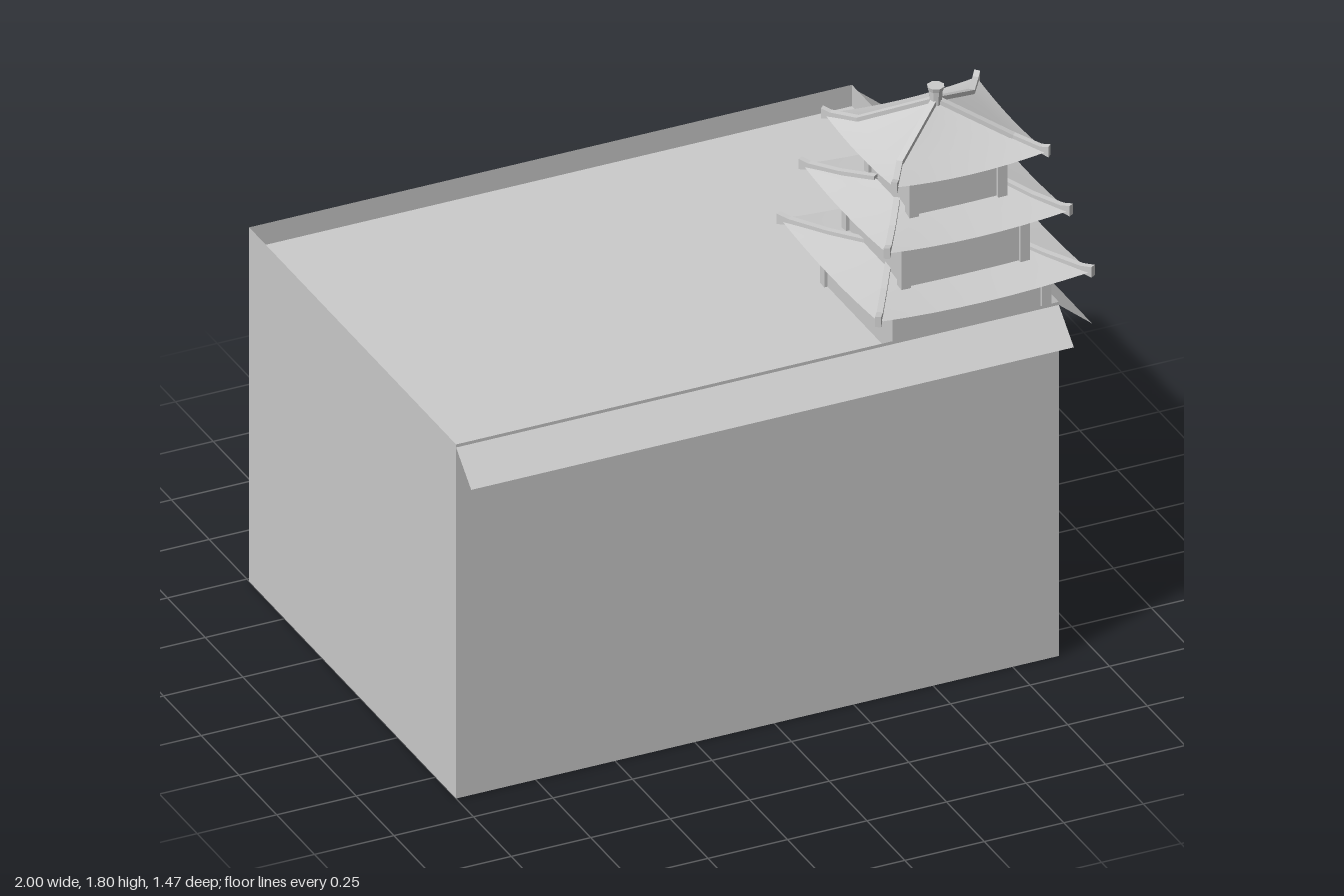
import * as THREE from 'three';

const stone = new THREE.MeshStandardMaterial({ color: 0xcccccc, side: THREE.DoubleSide });
stone.name = 'pale grey';

function add(parent, geometry, name, x = 0, y = 0, z = 0) {
  const mesh = new THREE.Mesh(geometry, stone);
  mesh.name = name;
  mesh.position.set(x, y, z);
  parent.add(mesh);
  return mesh;
}

// Smooth sheet of (nu x nv) cells from a point function of u, v in 0..1
function sheet(nu, nv, fn) {
  const pos = [], idx = [];
  for (let j = 0; j <= nv; j++)
    for (let i = 0; i <= nu; i++) pos.push(...fn(i / nu, j / nv));
  for (let j = 0; j < nv; j++)
    for (let i = 0; i < nu; i++) {
      const a = j * (nu + 1) + i, b = a + 1, c = a + nu + 1, d = c + 1;
      idx.push(a, b, d, a, d, c);
    }
  const g = new THREE.BufferGeometry();
  g.setAttribute('position', new THREE.Float32BufferAttribute(pos, 3));
  g.setIndex(idx);
  g.computeVertexNormals();
  return g;
}

// Flat quad, corners counter-clockwise from the outside
function quad(a, b, c, d) {
  return sheet(1, 1, (u, v) => (v ? (u ? c : d) : (u ? b : a)));
}

// Square bar along a path; each path point is [x, y, z, height], y is its top
function bar(path, width) {
  const pos = [], idx = [];
  const first = path[0], last = path[path.length - 1];
  const dir = new THREE.Vector2(last[0] - first[0], last[2] - first[2]).normalize();
  const sx = -dir.y * width / 2, sz = dir.x * width / 2;
  for (const [x, y, z, h] of path)
    pos.push(x + sx, y, z + sz, x - sx, y, z - sz, x - sx, y - h, z - sz, x + sx, y - h, z + sz);
  for (let k = 0; k < path.length - 1; k++)
    for (let i = 0; i < 4; i++) {
      const a = k * 4 + i, b = k * 4 + (i + 1) % 4;
      idx.push(a, b, b + 4, a, b + 4, a + 4);
    }
  const e = (path.length - 1) * 4;
  idx.push(0, 2, 1, 0, 3, 2, e, e + 1, e + 2, e, e + 2, e + 3);
  const g = new THREE.BufferGeometry();
  g.setAttribute('position', new THREE.Float32BufferAttribute(pos, 3));
  g.setIndex(idx);
  const flat = g.toNonIndexed();
  flat.computeVertexNormals();
  return flat;
}

// Curved hip roof through rings [halfX, y, halfZ], outermost first; eaves sag mid-span
function hipRoof(parent, rings, name) {
  const roof = new THREE.Group();
  roof.name = name;
  const n = rings.length - 1;
  const ring = (v) => rings[Math.round(v * n)];
  const sag = (s, v) => 0.016 * (1 - s * s) * (1 - v) ** 2;
  for (const m of [1, -1]) {
    add(roof, sheet(8, n, (u, v) => {
      const [x, y, z] = ring(v), s = 2 * u - 1;
      return [m * s * x, y - sag(s, v), m * z];
    }), 'roofSlope');
    add(roof, sheet(8, n, (u, v) => {
      const [x, y, z] = ring(v), s = 2 * u - 1;
      return [m * x, y - sag(s, v), -m * s * z];
    }), 'roofSideSlope');
  }
  // Hip ridges with thick upturned tips
  const [ox, oy, oz] = rings[0];
  for (const mx of [1, -1])
    for (const mz of [1, -1]) {
      const path = [[mx * (ox + 0.004), oy + 0.02, mz * (oz + 0.004), 0.034]];
      path.push([mx * (ox * 0.8 + rings[1][0] * 0.2), oy + 0.014, mz * (oz * 0.8 + rings[1][2] * 0.2), 0.02]);
      for (const [x, y, z] of rings.slice(1)) path.push([mx * x, y + 0.01, mz * z, 0.016]);
      add(roof, bar(path, 0.018), 'hipRidge');
    }
  parent.add(roof);
}

// Storey walls with a square post at each corner
function storey(parent, hx, hz, y0, y1, name) {
  const g = new THREE.Group();
  g.name = name;
  const h = y1 - y0, y = (y0 + y1) / 2, p = 0.03;
  add(g, new THREE.BoxGeometry(2 * hx - 0.02, h, 2 * hz - 0.02), 'storeyWalls', 0, y, 0);
  for (const mx of [1, -1])
    for (const mz of [1, -1])
      add(g, new THREE.BoxGeometry(p, h, p), 'cornerPost', mx * (hx - p / 2), y, mz * (hz - p / 2));
  parent.add(g);
}

export function createModel() {
  const model = new THREE.Group();
  model.name = 'blockWithPagoda';

  // Open-bottomed thin-walled block with a sunken flat roof
  const x0 = -1, x1 = 0.895, z0 = -0.735, z1 = 0.635, top = 1.16, deck = 1.09;
  add(model, quad([x0, 0, z1], [x1, 0, z1], [x1, top, z1], [x0, top, z1]), 'frontWall');
  add(model, quad([x1, 0, z0], [x0, 0, z0], [x0, top, z0], [x1, top, z0]), 'backWall');
  add(model, quad([x1, 0, z1], [x1, 0, z0], [x1, top, z0], [x1, top, z1]), 'leftWall');
  add(model, quad([x0, 0, z0], [x0, 0, z1], [x0, top, z1], [x0, top, z0]), 'rightWall');
  add(model, quad([x0, deck, z1], [x1, deck, z1], [x1, deck, z0], [x0, deck, z0]), 'roofDeck');

  // Sloping eaves on the front and left walls
  const hi = 1.15, lo = 1.063, out = 0.1;
  add(model, quad([x0, lo, z1 + out], [x1, lo, z1 + out], [x1, hi, z1], [x0, hi, z1]), 'frontEave');
  add(model, quad([x1 + out + 0.005, lo, z1], [x1 + out + 0.005, lo, z0], [x1, hi, z0], [x1, hi, z1]), 'leftEave');

  // Three-tier pagoda on the front corner
  const pagoda = new THREE.Group();
  pagoda.name = 'pagoda';
  pagoda.position.set(0.631, 0, 0.376);
  model.add(pagoda);

  storey(pagoda, 0.25, 0.241, deck, 1.257, 'lowerStorey');
  storey(pagoda, 0.202, 0.198, 1.275, 1.447, 'middleStorey');
  storey(pagoda, 0.154, 0.152, 1.465, 1.627, 'upperStorey');

  hipRoof(pagoda, [[0.334, 1.276, 0.326], [0.252, 1.284, 0.188], [0.17, 1.3, 0.05]], 'lowerRoof');
  hipRoof(pagoda, [[0.286, 1.466, 0.283], [0.22, 1.477, 0.177], [0.155, 1.498, 0.07]], 'middleRoof');
  hipRoof(pagoda, [[0.24, 1.646, 0.235], [0.18, 1.66, 0.14], [0.008, 1.75, 0.006]], 'upperRoof');

  // Finial
  const finial = new THREE.Group();
  finial.name = 'finial';
  add(finial, new THREE.CylinderGeometry(0.021, 0.018, 0.05, 8).toNonIndexed(), 'finialNeck', 0, 1.762, 0);
  add(finial, new THREE.CylinderGeometry(0.026, 0.022, 0.014, 8).toNonIndexed(), 'finialCap', 0, 1.793, 0);
  finial.children.forEach((m) => m.geometry.computeVertexNormals());
  pagoda.add(finial);

  return model;
}
